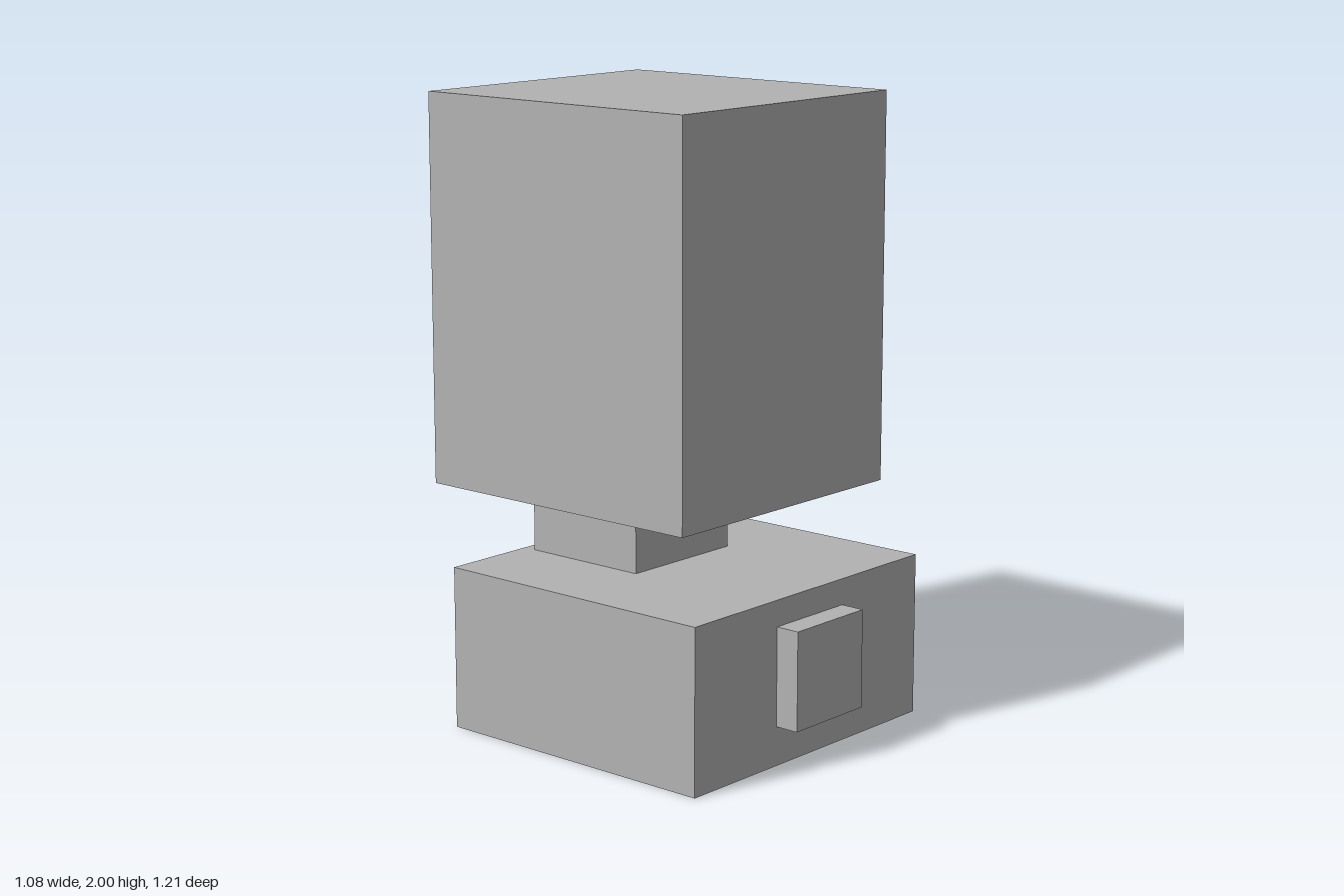
import * as THREE from 'three';

export function createModel() {
  const model = new THREE.Group();
  const grey = new THREE.MeshStandardMaterial({ color: 0xb2b2b2 });
  grey.name = 'grey';

  // Box given by its half width and its extents in y and z
  function addBlock(name, halfWidth, [y0, y1], [z0, z1]) {
    const mesh = new THREE.Mesh(new THREE.BoxGeometry(halfWidth * 2, y1 - y0, z1 - z0), grey);
    mesh.name = name;
    mesh.position.set(0, (y0 + y1) / 2, (z0 + z1) / 2);
    model.add(mesh);
  }

  addBlock('base', 0.538, [0, 0.524], [-0.47, 0.527]);
  addBlock('frontButton', 0.159, [0.125, 0.44], [0.527, 0.607]);
  addBlock('neck', 0.22, [0.524, 0.763], [-0.427, 0.01]);
  addBlock('upperBlock', 0.479, [0.763, 2], [-0.607, 0.427]);

  return model;
}
